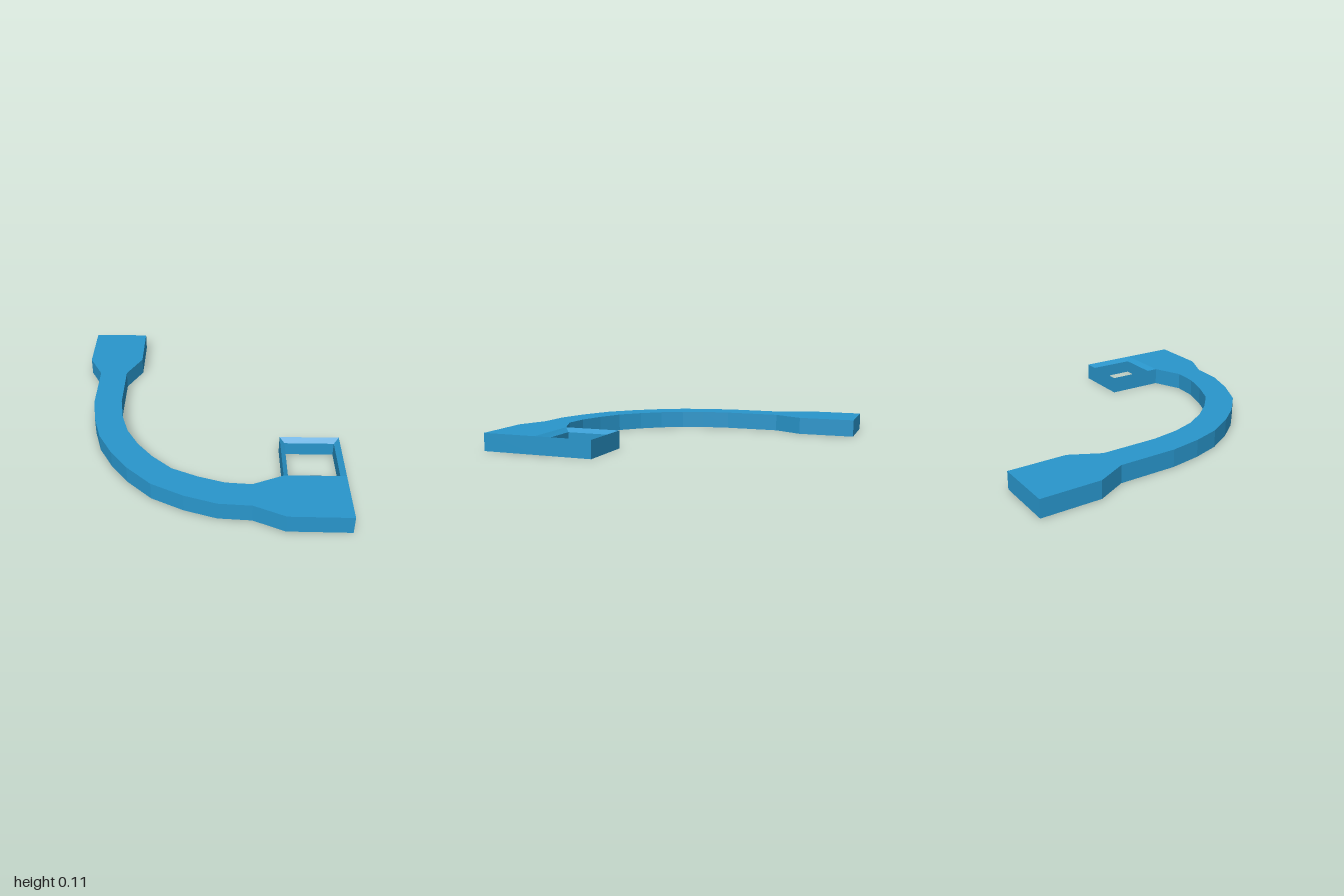
import * as THREE from 'three';

const HEIGHT = 0.11;

// Flat hook: outer edge, then inner edge back to the start, as [x, z]
const ARM = [
  [-0.825, -1], [-0.825, -0.635], [-0.735, -0.455], [-0.735, -0.095],
  [-0.705, 0.10], [-0.655, 0.275], [-0.565, 0.44], [-0.46, 0.58],
  [-0.31, 0.725], [-0.12, 0.825], [0.07, 0.89], [0.265, 0.905],
  [0.445, 0.99], [0.813, 0.998], [0.817, 0.65], [0.453, 0.648],
  [0.27, 0.725], [0.115, 0.712], [-0.04, 0.66], [-0.195, 0.587],
  [-0.315, 0.475], [-0.41, 0.355], [-0.485, 0.22], [-0.53, 0.075],
  [-0.555, -0.10], [-0.555, -0.455], [-0.46, -0.64], [-0.46, -1],
];

// Frame corners: back left, back right, front right, front left
const OUTER = [[0.458, 0.28], [0.822, 0.284], [0.817, 0.65], [0.453, 0.648]];
const INNER = [[0.487, 0.31], [0.79, 0.314], [0.786, 0.62], [0.482, 0.616]];

function extrudeOutline(points) {
  const shape = new THREE.Shape(points.map(([x, z]) => new THREE.Vector2(x, -z)));
  const geometry = new THREE.ExtrudeGeometry(shape, { depth: HEIGHT, bevelEnabled: false });
  return geometry.rotateX(-Math.PI / 2);
}

// Square ring whose top slopes down towards the opening
function frameGeometry() {
  const slope = 0.025;
  const section = [[OUTER, 0], [OUTER, HEIGHT], [INNER, HEIGHT - slope], [INNER, 0]];
  const positions = [];
  const index = [];
  for (let i = 0; i < 4; i++) {
    for (const [loop, y] of section) positions.push(loop[i][0], y, loop[i][1]);
    for (let j = 0; j < 4; j++) {
      if (i === 2 && j === 0) continue; // this wall is joined to the arm
      const a = i * 4 + j, b = i * 4 + (j + 1) % 4;
      const c = ((i + 1) % 4) * 4 + j, d = ((i + 1) % 4) * 4 + (j + 1) % 4;
      index.push(a, b, c, c, b, d);
    }
  }
  const ring = new THREE.BufferGeometry();
  ring.setAttribute('position', new THREE.Float32BufferAttribute(positions, 3));
  ring.setIndex(index);
  const geometry = ring.toNonIndexed();
  geometry.computeVertexNormals();
  return geometry;
}

export function createModel() {
  const group = new THREE.Group();
  group.name = 'curvedBracket';
  const material = new THREE.MeshStandardMaterial({ color: 0x2996cc, flatShading: true });

  const arm = new THREE.Mesh(extrudeOutline(ARM), material);
  arm.name = 'curvedArm';
  const frame = new THREE.Mesh(frameGeometry(), material);
  frame.name = 'squareFrame';

  group.add(arm, frame);
  return group;
}
